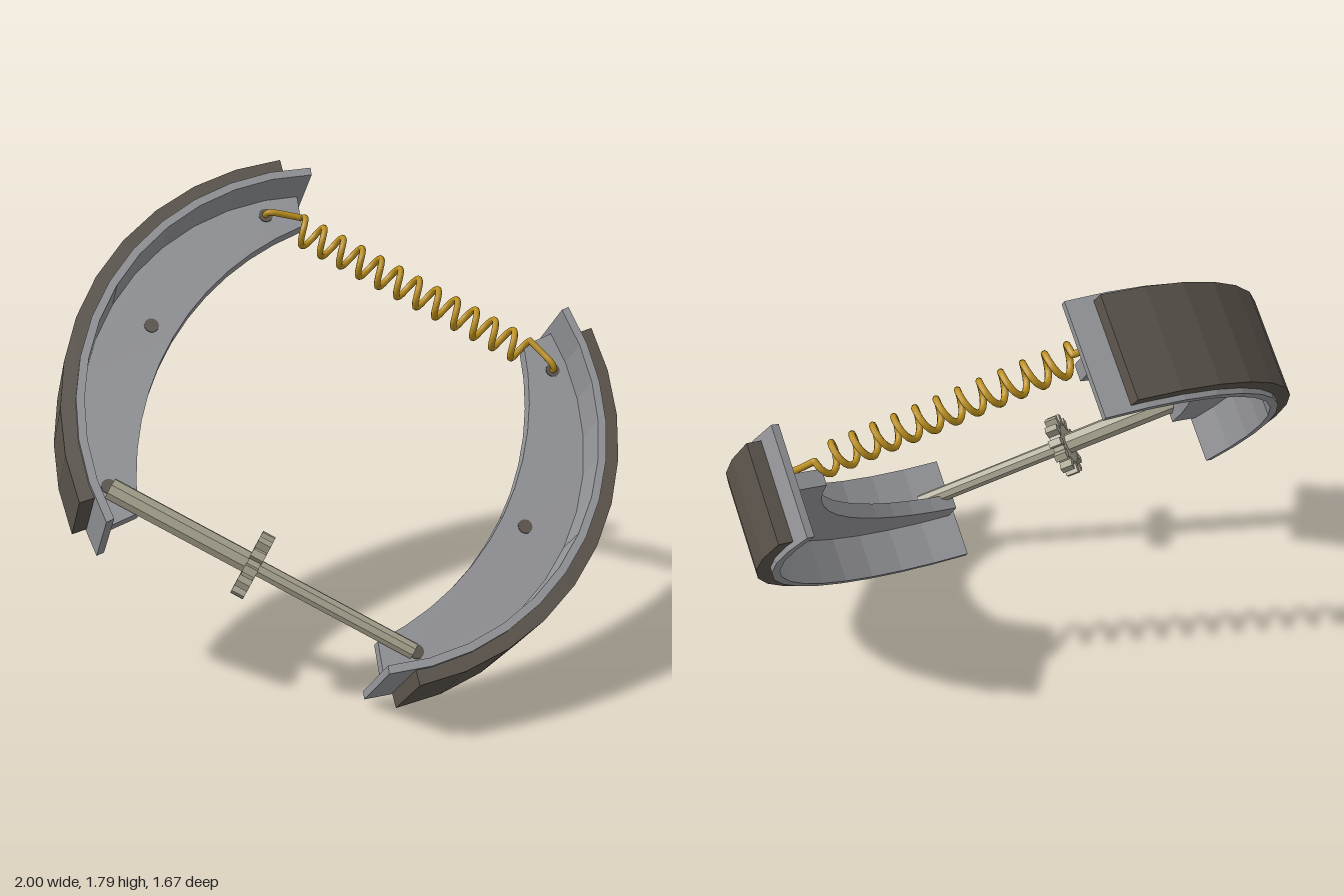
import * as THREE from 'three';

const mat = (name, color) => {
  const m = new THREE.MeshStandardMaterial({ color });
  m.name = name;
  return m;
};

export function createModel() {
  const steel = mat('steel', 0x96979b);
  const friction = mat('friction lining', 0x5c554d);
  const brass = mat('spring brass', 0xbd911f);
  const castMetal = mat('adjuster metal', 0xa6a28e);
  castMetal.flatShading = true;

  const add = (parent, name, geometry, material) => {
    const mesh = new THREE.Mesh(geometry, material);
    mesh.name = name;
    parent.add(mesh);
    return mesh;
  };
  const deg = Math.PI / 180;

  // points of an arc around (cx, 0), from -half to +half degrees, mirrored by side
  const arc = (side, cx, r, half, steps) =>
    Array.from({ length: steps + 1 }, (_, i) => {
      const a = (-half + (2 * half * i) / steps) * deg;
      return new THREE.Vector2(side * (cx + r * Math.cos(a)), r * Math.sin(a));
    });

  // plate between an outer and an inner arc, centred across the drum width
  const plate = (outer, inner, width) => {
    const shape = new THREE.Shape([...outer, ...inner.reverse()]);
    const g = new THREE.ExtrudeGeometry(shape, { depth: width, bevelEnabled: false });
    return g.translate(0, 0, -width / 2);
  };

  // assembly: local x runs along the spring, y from adjuster to spring, z is the drum axis
  const model = new THREE.Group();
  model.name = 'brakeShoeSet';
  const tilted = new THREE.Group();
  tilted.name = 'tiltedAssembly';
  model.add(tilted);
  const xAxis = new THREE.Vector3(0.881, -0.445, -0.162).normalize();
  const zAxis = xAxis.clone().cross(new THREE.Vector3(0.154, 0.615, -0.773)).normalize();
  const yAxis = zAxis.clone().cross(xAxis);
  tilted.quaternion.setFromRotationMatrix(new THREE.Matrix4().makeBasis(xAxis, yAxis, zAxis));
  tilted.position.set(0, 0.9, 0);

  // two mirrored shoes
  for (const side of [1, -1]) {
    const shoe = new THREE.Group();
    shoe.name = side > 0 ? 'leftShoe' : 'rightShoe';
    tilted.add(shoe);
    add(shoe, 'shoeTable', plate(arc(side, 0, 0.972, 55.5, 12), arc(side, 0, 0.942, 55.5, 12), 0.41), steel);
    add(shoe, 'lining', plate(arc(side, 0, 1.025, 49.5, 10), arc(side, 0, 0.965, 49.5, 10), 0.37), friction);
    // web: inner edge is a flatter arc than the table
    add(shoe, 'web', plate(arc(side, 0, 0.95, 54, 12), arc(side, -0.45, 1.14, 35.3, 12), 0.06), steel);
    for (const [x, y] of [[0.62, 0.625], [0.78, 0], [0.62, -0.625]]) {
      const hole = add(shoe, 'webHole', new THREE.CylinderGeometry(0.027, 0.027, 0.006, 16), friction);
      hole.rotation.x = Math.PI / 2;
      hole.position.set(side * x, y, 0.031);
    }
  }

  // adjuster rod with star wheel
  const adjuster = new THREE.Group();
  adjuster.name = 'adjuster';
  adjuster.position.set(0, -0.632, 0.04);
  tilted.add(adjuster);
  const rod = (name, r, x0, x1, sides) => {
    const m = add(adjuster, name, new THREE.CylinderGeometry(r, r, x1 - x0, sides), castMetal);
    m.rotation.z = -Math.PI / 2;
    m.position.x = (x0 + x1) / 2;
  };
  rod('socketRod', 0.041, -0.61, -0.04, 8);
  rod('threadedRod', 0.031, -0.04, 0.61, 8);
  rod('starWheel', 0.092, -0.06, -0.015, 20);
  for (let i = 0; i < 12; i++) {
    const a = i * 30 * deg;
    const tooth = add(adjuster, 'starWheelTooth', new THREE.BoxGeometry(0.05, 0.045, 0.028), castMetal);
    tooth.position.set(-0.0375, 0.101 * Math.cos(a), 0.101 * Math.sin(a));
    tooth.rotation.x = a;
  }

  // return spring: hooked ends and a helical body
  const turns = 12, perTurn = 14, half = 0.49, coilR = 0.05;
  const sy = 0.625, sz = 0.06;
  const coil = [];
  for (let i = 0; i <= turns * perTurn; i++) {
    const a = (i / perTurn) * Math.PI * 2;
    coil.push(new THREE.Vector3(
      -half + (2 * half * i) / (turns * perTurn),
      sy + coilR * Math.cos(a),
      sz + coilR * Math.sin(a)));
  }
  const spring = new THREE.Group();
  spring.name = 'returnSpring';
  tilted.add(spring);
  add(spring, 'springCoil',
    new THREE.TubeGeometry(new THREE.CatmullRomCurve3(coil), turns * 18, 0.0125, 8), brass);
  for (const side of [1, -1]) {
    const hook = new THREE.CatmullRomCurve3([
      new THREE.Vector3(side * 0.62, sy, 0.02),
      new THREE.Vector3(side * 0.62, sy, 0.05),
      new THREE.Vector3(side * 0.605, sy + 0.006, 0.063),
      new THREE.Vector3(side * 0.55, sy + 0.028, 0.062),
      new THREE.Vector3(side * half, sy + coilR, sz),
    ]);
    add(spring, 'springHook', new THREE.TubeGeometry(hook, 16, 0.0125, 8), brass);
    const tip = add(spring, 'springJoint', new THREE.SphereGeometry(0.0125, 8, 6), brass);
    tip.position.set(side * half, sy + coilR, sz);
  }

  return model;
}
